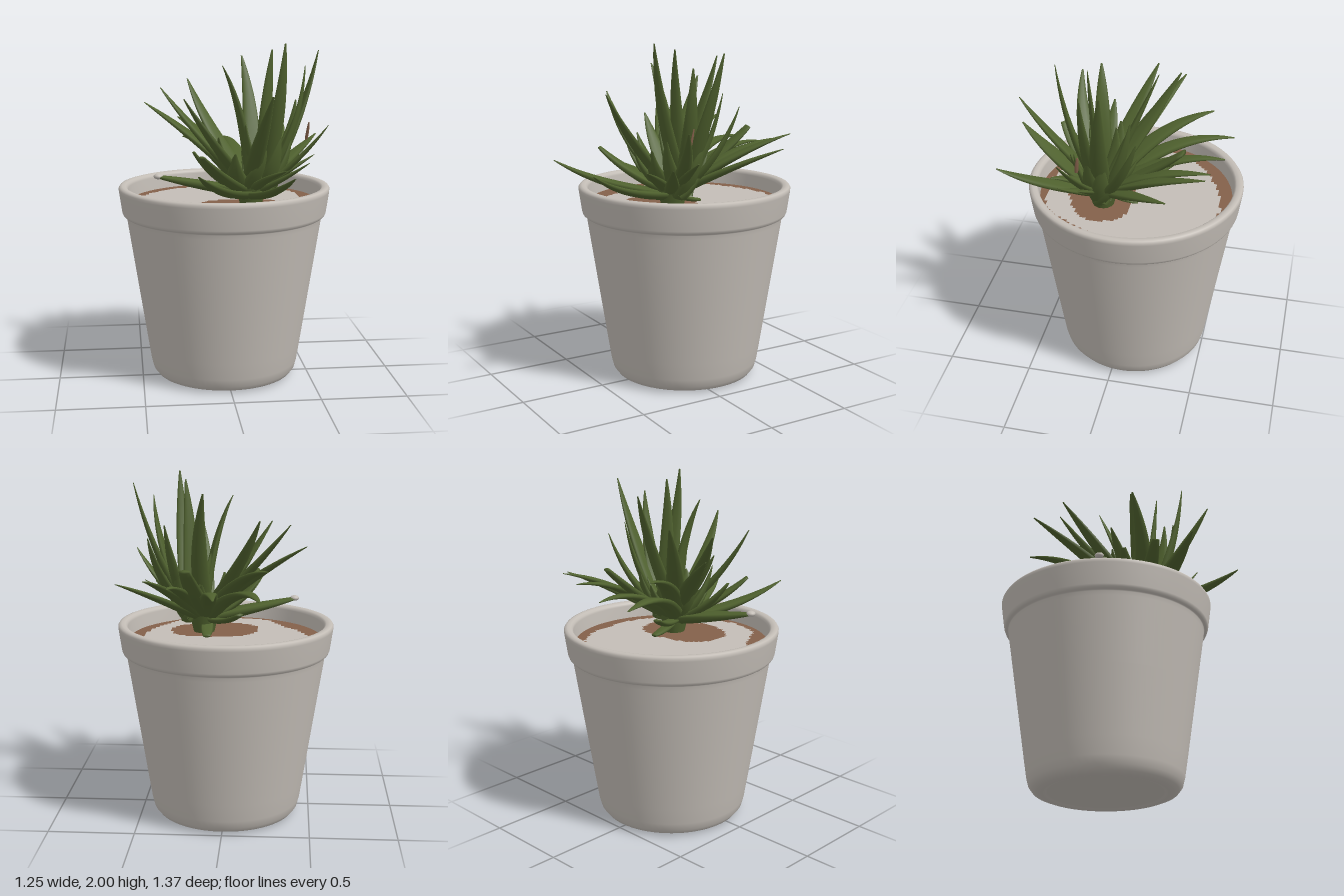
import * as THREE from 'three';

const paint = (name, color) => {
  const m = new THREE.MeshStandardMaterial({ color });
  m.name = name;
  return m;
};
const V = (x, y, z) => new THREE.Vector3(x, y, z);

const POT_Z = -0.065, SOIL_Y = 1.06;

// Fleshy leaf: cupped oval sections swept along a curve that bends up and sideways
function leafGeometry(base, tip, out, rise, width, blunt, bend) {
  const side = V(tip.x - base.x, 0, tip.z - base.z).normalize().cross(V(0, 1, 0));
  const ctrl = V(
    THREE.MathUtils.lerp(base.x, tip.x, out),
    THREE.MathUtils.lerp(base.y, tip.y, rise),
    THREE.MathUtils.lerp(base.z, tip.z, out)).addScaledVector(side, bend);
  const curve = new THREE.QuadraticBezierCurve3(base, ctrl, tip);
  const rings = 14, n = 10, pos = [], idx = [];
  for (let i = 0; i <= rings + 1; i++) {
    const s = Math.min(i / rings, 1);
    const p = curve.getPoint(s), t = curve.getTangent(s);
    const up = side.clone().cross(t).normalize();
    const across = t.clone().cross(up).normalize();
    const w = i > rings ? 0.0004 : width * ((1 - Math.pow(s, 1.6)) * (0.85 + 0.5 * s) + blunt * s);
    for (let j = 0; j < n; j++) {
      const a = (j / n) * Math.PI * 2, c = Math.cos(a);
      const v = w * (0.4 * Math.sin(a) + 0.35 * c * c * (1 - s));
      const q = p.clone().addScaledVector(across, c * w).addScaledVector(up, v);
      pos.push(q.x, q.y, q.z);
    }
  }
  for (let i = 0; i <= rings; i++) {
    for (let j = 0; j < n; j++) {
      const a = i * n + j, b = i * n + (j + 1) % n;
      idx.push(a, a + n, b, b, a + n, b + n);
    }
  }
  const g = new THREE.BufferGeometry();
  g.setAttribute('position', new THREE.Float32BufferAttribute(pos, 3));
  g.setIndex(idx);
  g.computeVertexNormals();
  return g;
}

// Closed outline through the points, stepped to a small grid
function steppedOutline(points, count) {
  const snap = v => Math.round(v / 0.02) * 0.02;
  const smooth = new THREE.CatmullRomCurve3(points.map(([x, z]) => V(x, -z, 0)), true);
  const path = [];
  smooth.getSpacedPoints(count).slice(0, -1).forEach(p => {
    const q = new THREE.Vector2(snap(p.x), snap(p.y)), last = path[path.length - 1];
    if (last && last.distanceTo(q) < 0.01) return;
    if (last && Math.abs(last.x - q.x) > 0.01 && Math.abs(last.y - q.y) > 0.01) path.push(new THREE.Vector2(q.x, last.y));
    path.push(q);
  });
  return path;
}

export function createModel() {
  const model = new THREE.Group();
  const stone = paint('pale stone', 0xc3bdb6);
  const soil = paint('brown soil', 0x83604a);
  const green = paint('leaf green', 0x4f612e);
  const add = (name, geo, mat, parent = model) => {
    const m = new THREE.Mesh(geo, mat);
    m.name = name;
    parent.add(m);
    return m;
  };

  // Pot: tapered wall, rounded foot, overhanging rim and inner lip
  const profile = [
    [0, 0.012], [0.325, 0.012], [0.335, 0.006], [0.35, 0.002], [0.38, 0.004], [0.41, 0.016],
    [0.432, 0.045], [0.444, 0.09], [0.46, 0.19], [0.52, 0.58], [0.577, 0.95], [0.58, 0.975],
    [0.584, 0.981], [0.594, 0.984], [0.602, 0.992], [0.607, 1.005], [0.625, 1.13], [0.626, 1.145],
    [0.619, 1.156], [0.605, 1.16], [0.585, 1.157], [0.575, 1.148], [0.571, 1.135], [0.562, 1.03]
  ].map(([r, y]) => new THREE.Vector2(r, y));
  const pot = add('pot', new THREE.LatheGeometry(profile, 72), stone);
  pot.position.z = POT_Z;

  // Soil bed
  const bed = add('soil', new THREE.CircleGeometry(0.568, 64), soil);
  bed.rotation.x = -Math.PI / 2;
  bed.position.set(0, SOIL_Y, POT_Z);

  // Pale gravel layer with a ragged edge and a bare patch around the plant
  const gravelShape = new THREE.Shape(steppedOutline([
    [-0.48, -0.2], [-0.43, -0.32], [-0.3, -0.45], [-0.09, -0.54], [0.1, -0.57], [0.27, -0.5],
    [0.42, -0.32], [0.47, -0.1], [0.46, 0.1], [0.38, 0.26], [0.27, 0.41], [0.08, 0.44],
    [-0.06, 0.45], [-0.24, 0.38], [-0.33, 0.22], [-0.45, 0.06]], 150));
  gravelShape.holes.push(new THREE.Path(steppedOutline([
    [-0.19, 0.13], [-0.14, 0], [0.08, -0.07], [0.28, -0.02], [0.34, 0.14], [0.24, 0.26],
    [0.06, 0.32], [-0.07, 0.29], [-0.16, 0.22]], 80)));
  const gravel = add('gravel', new THREE.ShapeGeometry(gravelShape), stone);
  gravel.rotation.x = -Math.PI / 2;
  gravel.position.y = SOIL_Y + 0.005;

  const plant = new THREE.Group();
  plant.name = 'plant';
  model.add(plant);
  const leaf = (name, b, t, out, rise, w, blunt = 0.08, bend = 0) =>
    add(name, leafGeometry(V(...b), V(...t), out, rise, w, blunt, bend), green, plant);

  // Short stem under the rosettes
  const stem = add('stem', new THREE.CylinderGeometry(0.1, 0.06, 0.16, 14), green, plant);
  stem.position.set(0.14, 1.13, 0.1);

  // Low spreading leaves: tip, bend outward, bend upward, half width, bend sideways
  [
    [-0.21, 1.38, -0.60, 0.5, 1.2, 0.07, -0.07], [0.04, 1.38, -0.58, 0.5, 1.15, 0.062, 0],
    [0.29, 1.43, -0.53, 0.5, 0.95, 0.06, 0.07], [0.42, 1.47, -0.52, 0.55, 0.8, 0.06, 0.08],
    [0.60, 1.42, -0.34, 0.5, 0.6, 0.062, 0.04], [-0.25, 1.52, -0.47, 0.5, 0.9, 0.072, -0.05],
    [-0.21, 1.33, 0.68, 0.6, 0.25, 0.066, 0], [0.30, 1.31, 0.68, 0.6, 0.2, 0.062, 0.03],
    [0.56, 1.54, 0.25, 0.55, 0.35, 0.055, -0.04], [0.50, 1.36, 0.15, 0.5, 0.5, 0.05, 0.02],
    [0.45, 1.33, 0.28, 0.5, 0.4, 0.05, 0], [0.31, 1.3, 0.36, 0.5, 0.7, 0.055, 0.03]
  ].forEach(([x, y, z, o, u, w, k]) => leaf('lowLeaf', [0.13, 1.12, 0.1], [x, y, z], o, u, w, 0.08, k));

  // Blunt and cut leaves
  [
    [-0.4, 1.25, 0.178, 0.5, 0.5, 0.075, 0.32], [-0.09, 1.24, -0.27, 0.6, 0.2, 0.038, 0.6],
    [0.21, 1.5, -0.37, 0.6, 0.5, 0.055, 0.6], [-0.17, 1.39, 0.41, 0.6, 0.4, 0.055, 0.4],
    [-0.2, 1.39, 0.2, 0.6, 0.3, 0.06, 0.3], [0.11, 1.075, -0.1, 0.5, 0.8, 0.035, 0.6]
  ].forEach(([x, y, z, o, u, w, k]) => leaf('bluntLeaf', [0.12, 1.13, 0.1], [x, y, z], o, u, w, k));
  const cut = add('cutLeafEnd', new THREE.SphereGeometry(0.027, 14, 10), stone, plant);
  cut.scale.set(1, 0.62, 1);
  cut.position.set(-0.4, 1.253, 0.178);

  // Tall leaves that arch out and turn up
  [
    [-0.46, 1.63, -0.27, 0.5, 0.6, 0.064, 0], [-0.37, 1.73, -0.12, 0.55, 0.5, 0.064, -0.03],
    [-0.2, 1.77, -0.28, 0.6, 0.5, 0.064, -0.03], [-0.26, 1.7, 0.31, 0.6, 0.4, 0.062, -0.08],
    [-0.03, 1.87, 0.14, 0.2, 0.65, 0.058, 0], [0.12, 1.91, -0.21, 0.5, 0.5, 0.06, 0.06],
    [0.2, 1.73, 0.55, 0.6, 0.45, 0.058, 0.03], [-0.18, 1.57, 0.1, 0.6, 0.5, 0.058, 0]
  ].forEach(([x, y, z, o, u, w, k]) => leaf('tallLeaf', [0.13, 1.16, 0.1], [x, y, z], o, u, w, 0.08, k));

  // Second, upright rosette
  [
    [0.3, 2.0, 0.31, 0.8, 0.45, 0.058, 0], [0.25, 1.96, 0.15, 0.6, 0.5, 0.058, 0.03],
    [0.54, 1.95, 0.02, 0.65, 0.42, 0.062, 0.03], [0.44, 1.87, 0.15, 0.9, 0.45, 0.055, 0],
    [0.35, 1.72, -0.1, 0.7, 0.4, 0.055, 0], [0.44, 1.65, -0.15, 0.7, 0.4, 0.055, 0.03]
  ].forEach(([x, y, z, o, u, w, k]) => leaf('uprightLeaf', [0.22, 1.16, 0.08], [x, y, z], o, u, w, 0.08, k));

  // Broad inner leaves opening around both hearts: centre, count, reach, height
  [[0.1, 0.1, 7, 0.2, 1.42], [0.23, 0.09, 6, 0.15, 1.48]].forEach(([cx, cz, count, r, y]) => {
    for (let i = 0; i < count; i++) {
      const a = i * 2.4 + cx, x = cx + r * Math.cos(a), z = cz + r * Math.sin(a);
      leaf('innerLeaf', [cx, 1.13, cz], [x, y + 0.06 * Math.sin(i * 2), z], 0.75, 0.4, 0.068, 0.08, 0.03);
    }
  });

  // Withered brown tip
  add('witheredTip', leafGeometry(V(0.45, 1.45, 0.17), V(0.465, 1.55, 0.16), 0.6, 0.5, 0.012, 0.4, 0), soil, plant);

  return model;
}
